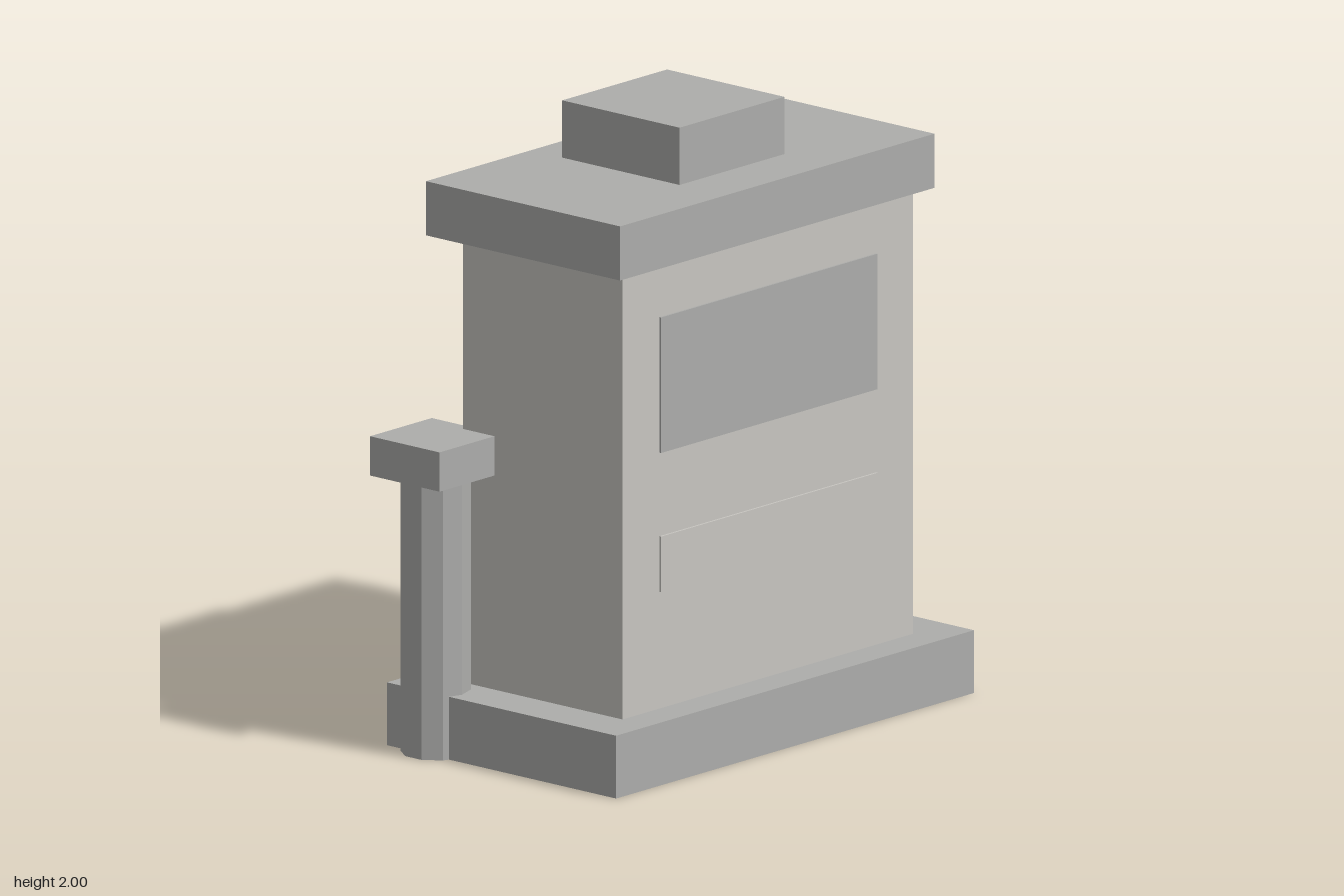
import * as THREE from 'three';

export function createModel() {
  const model = new THREE.Group();
  model.name = 'stoneMonument';

  const paleStone = new THREE.MeshStandardMaterial({ color: 0xc8c6c1 });
  paleStone.name = 'pale stone';
  const greyStone = new THREE.MeshStandardMaterial({ color: 0xadadab });
  greyStone.name = 'grey stone';

  // Box given by its x, y and z ranges
  function block(name, material, [x0, x1], [y0, y1], [z0, z1], parent = model) {
    const mesh = new THREE.Mesh(new THREE.BoxGeometry(x1 - x0, y1 - y0, z1 - z0), material);
    mesh.position.set((x0 + x1) / 2, (y0 + y1) / 2, (z0 + z1) / 2);
    mesh.name = name;
    parent.add(mesh);
    return mesh;
  }

  // Main stack: plinth, slab, cornice and crowning block
  block('plinth', greyStone, [-0.84, 0.84], [0, 0.203], [-0.478, 0.478]);
  block('slab', paleStone, [-0.682, 0.682], [0.203, 1.64], [-0.302, 0.364]);
  block('cornice', greyStone, [-0.738, 0.738], [1.64, 1.815], [-0.406, 0.404]);
  block('crowningBlock', greyStone, [-0.246, 0.246], [1.815, 2], [-0.275, 0.215]);

  // Thin inscription plates on the front of the slab
  block('upperPlate', greyStone, [-0.508, 0.508], [1.03, 1.468], [0.364, 0.371]);
  block('lowerPlate', paleStone, [-0.508, 0.508], [0.58, 0.76], [0.364, 0.371]);

  // Ten-sided side posts with square caps, at the back corners
  for (const side of [-1, 1]) {
    const post = new THREE.Group();
    post.name = side > 0 ? 'leftPost' : 'rightPost';
    post.position.set(side * 0.795, 0, -0.315);

    const shaftGeometry = new THREE.CylinderGeometry(0.11, 0.11, 0.895, 10).toNonIndexed();
    shaftGeometry.computeVertexNormals();
    const shaft = new THREE.Mesh(shaftGeometry, greyStone);
    shaft.position.y = 0.4475;
    shaft.name = 'postShaft';
    post.add(shaft);

    block('postCap', greyStone, [-0.145, 0.145], [0.895, 1.022], [-0.145, 0.145], post);
    model.add(post);
  }

  return model;
}
